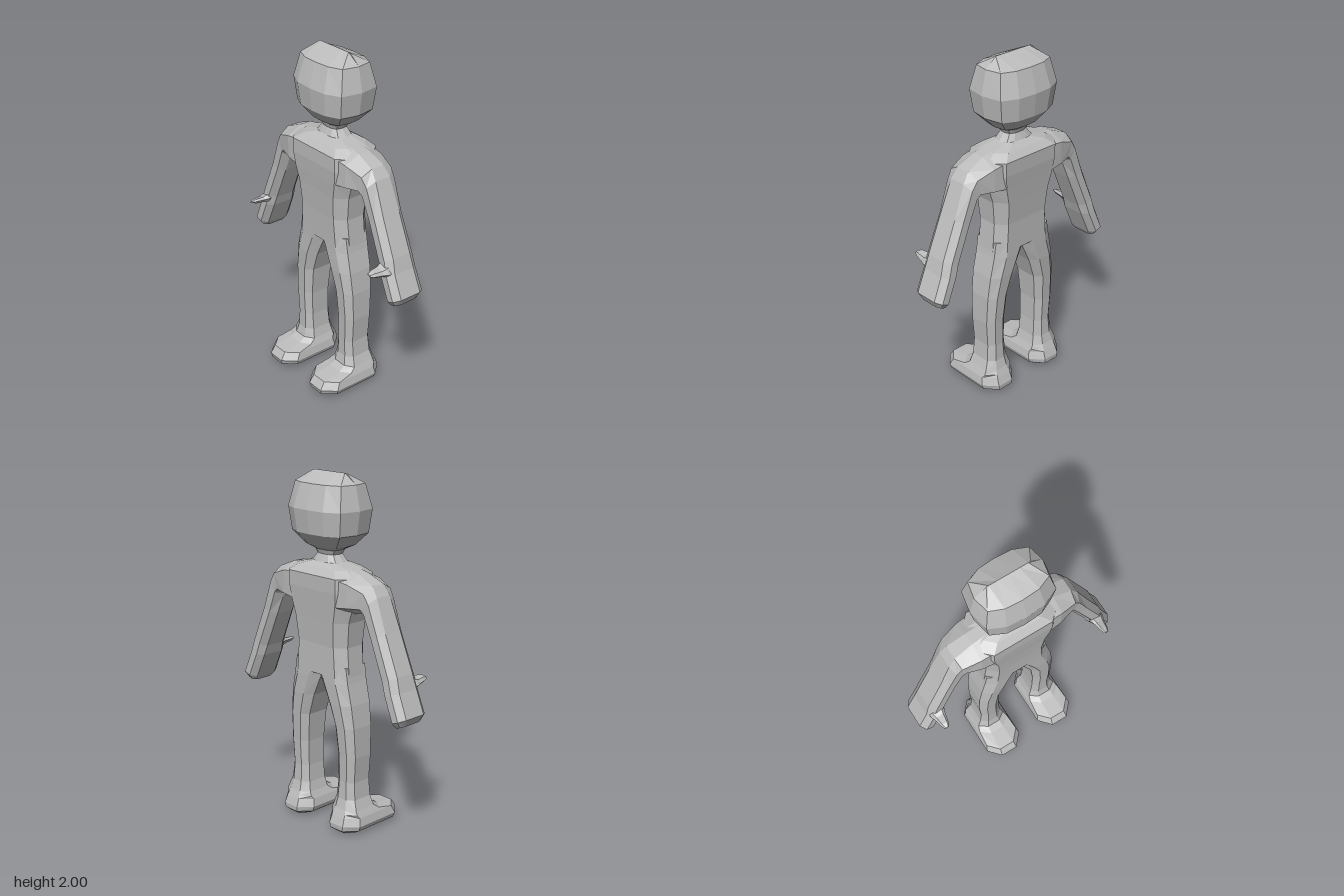
import * as THREE from 'three';

const grey = new THREE.MeshStandardMaterial({ color: 0xbcbcbc });
grey.name = 'plain grey';

// Faceted skin over closed rings of points, capped at both ends; side = -1 mirrors it in x
function loft(name, rings, side = 1) {
  const n = rings[0].length, pos = [];
  const pts = rings.map(r => r.map(p => new THREE.Vector3(p[0] * side, p[1], p[2])));
  let tris = [];
  for (let i = 0; i < pts.length - 1; i++)
    for (let j = 0; j < n; j++) {
      const k = (j + 1) % n, a = pts[i][j], b = pts[i][k], c = pts[i + 1][k], d = pts[i + 1][j];
      tris.push([a, b, c], [a, c, d]);
    }
  const cap = (ring, flip) => {
    const mid = ring.reduce((s, p) => s.add(p), new THREE.Vector3()).divideScalar(n);
    for (let j = 0; j < n; j++) {
      const a = ring[j], b = ring[(j + 1) % n];
      tris.push(flip ? [mid, b, a] : [mid, a, b]);
    }
  };
  cap(pts[0], true);
  cap(pts[pts.length - 1], false);
  // A negative enclosed volume means the faces point inward
  const volume = tris.reduce((v, [a, b, c]) => v + a.dot(new THREE.Vector3().crossVectors(b, c)), 0);
  if (volume < 0) tris = tris.map(([a, b, c]) => [a, c, b]);
  for (const t of tris) for (const p of t) pos.push(p.x, p.y, p.z);
  const geo = new THREE.BufferGeometry();
  geo.setAttribute('position', new THREE.Float32BufferAttribute(pos, 3));
  geo.computeVertexNormals();
  const mesh = new THREE.Mesh(geo, grey);
  mesh.name = name;
  return mesh;
}

// Chamfered rectangle between an outer and an inner point in xy, and from z0 to z1
function section([ox, oy], [ix, iy], z0, z1, cu, cz) {
  const u = [[0, cz], [0, 1 - cz], [cu, 1], [1 - cu, 1], [1, 1 - cz], [1, cz], [1 - cu, 0], [cu, 0]];
  return u.map(([s, t]) => [ox + (ix - ox) * s, oy + (iy - oy) * s, z0 + (z1 - z0) * t]);
}

export function createModel() {
  const model = new THREE.Group();

  // Head and neck: y, half width, half depth
  const oval = [[1, 0], [.9, .7], [.5, .95], [0, 1], [-.5, .95], [-.9, .7],
    [-1, 0], [-.9, -.7], [-.5, -.95], [0, -1], [.5, -.95], [.9, -.7]];
  const ovalRing = ([y, w, d]) => oval.map(([x, z]) => [x * w, y, -.06 + z * d]);
  model.add(loft('head', [[1.585, .08, .06], [1.61, .135, .1], [1.68, .205, .155], [1.81, .225, .17],
    [1.945, .195, .13], [2, .125, 0]].map(ovalRing)));
  model.add(loft('neck', [[1.50, .13, .09], [1.52, .1, .067], [1.56, .068, .05], [1.6, .09, .065]].map(ovalRing)));

  // Torso: y, half width, back, front
  model.add(loft('torso', [
    [.9, .205, -.17, .05], [1.07, .19, -.17, .057], [1.21, .205, -.182, .068], [1.3, .235, -.19, .078],
    [1.38, .25, -.198, .085], [1.46, .25, -.2, .085], [1.495, .19, -.165, .045], [1.52, .09, -.125, .005],
  ].map(([y, w, b, f]) => section([w, y], [-w, y], b, f, .14, .25))));

  for (const side of [1, -1]) {
    const s = side > 0 ? 'left' : 'right';

    // Arm from the shoulder to the blunt hand: outer point, inner point, back, front
    model.add(loft(s + 'Arm', [
      [[.1, 1.515], [.17, 1.25], -.19, .075, .2, .38],
      [[.25, 1.485], [.245, 1.27], -.182, .068, .2, .36],
      [[.36, 1.44], [.32, 1.285], -.162, .045, .22, .3],
      [[.4, 1.385], [.335, 1.265], -.158, .038, .25, .25],
      [[.475, 1.2], [.375, 1.16], -.155, .032, .28, .2],
      [[.563, .99], [.465, .95], -.16, .035, .28, .2],
      [[.587, .91], [.485, .89], -.165, .04, .28, .18],
      [[.642, .78], [.55, .745], -.17, .04, .28, .18],
      [[.622, .737], [.565, .72], -.145, .015, .28, .2],
    ].map(a => section(...a)), side));

    // Thumb pointing forward: z, centre y, half width, half height
    model.add(loft(s + 'Thumb', [
      [-.01, .93, .045, .035], [.035, .93, .044, .024], [.06, .93, .034, .016],
      [.11, .932, .024, .013], [.135, .933, .013, .005],
    ].map(([z, y, w, h]) => [[1, 0], [.6, 1], [-.6, 1], [-1, 0], [-.6, -1], [.6, -1]]
      .map(([a, b]) => [.53 + a * w, y + b * h - a * w * .3, z])), side));

    // Leg and foot: y, inner x, outer x, back, front
    model.add(loft(s + 'Leg', [
      [.96, -.04, .196, -.17, .052], [.87, .003, .21, -.17, .05], [.75, .06, .236, -.167, .05],
      [.62, .105, .252, -.158, .042], [.45, .122, .256, -.147, .034], [.3, .122, .246, -.143, .03],
      [.2, .113, .256, -.15, .032], [.145, .098, .277, -.165, .045], [.122, .088, .288, -.175, .085],
      [.104, .08, .296, -.183, .2], [.058, .07, .306, -.2, .23], [.03, .08, .295, -.198, .222],
      [.004, .12, .255, -.165, .17],
    ].map(([y, i, o, b, f]) => section([o, y], [i, y], b, f, .28, .17)), side));
  }
  return model;
}
